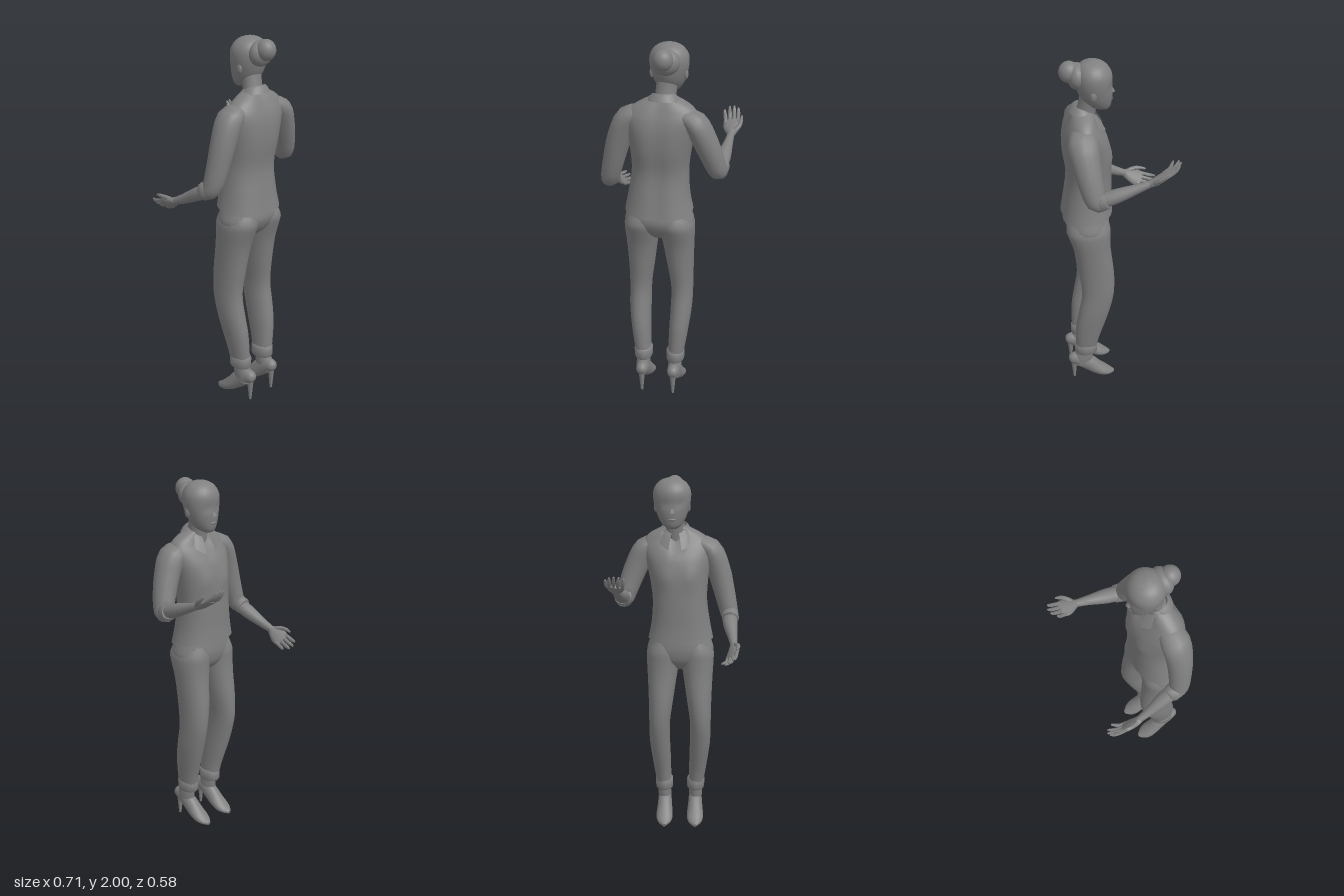
import * as THREE from 'three';
import { toCreasedNormals } from 'three/addons/utils/BufferGeometryUtils.js';

const V = (x, y, z) => new THREE.Vector3(x, y, z);
const material = new THREE.MeshStandardMaterial({ color: 0x808080 });
const thin = new THREE.MeshStandardMaterial({ color: 0x808080, side: THREE.DoubleSide });

// Catmull-Rom resampling of number rows, k steps per span
function smooth(rows, k = 3) {
  const out = [], last = rows.length - 1;
  for (let i = 0; i < last; i++) {
    const [p, a, b, q] = [rows[Math.max(i - 1, 0)], rows[i], rows[i + 1], rows[Math.min(i + 2, last)]];
    for (let s = 0; s < k; s++) {
      const t = s / k;
      out.push(a.map((v, c) => v + 0.5 * t * (b[c] - p[c] + t * (2 * p[c] - 5 * v + 4 * b[c] - q[c]
        + t * (3 * (v - b[c]) + q[c] - p[c])))));
    }
  }
  out.push(rows[last]);
  return out;
}

// Skin over rings of points, closed at both ends
function loft(rings, crease = 0.9) {
  const n = rings[0].length, pos = [], idx = [];
  rings.forEach(r => r.forEach(p => pos.push(p.x, p.y, p.z)));
  for (let i = 0; i < rings.length - 1; i++) {
    for (let j = 0; j < n; j++) {
      const a = i * n + j, b = i * n + (j + 1) % n;
      idx.push(a, a + n, b, b, a + n, b + n);
    }
  }
  [0, rings.length - 1].forEach((r, end) => {
    const c = rings[r].reduce((s, p) => s.add(p), V(0, 0, 0)).divideScalar(n);
    const m = pos.length / 3;
    pos.push(c.x, c.y, c.z);
    for (let j = 0; j < n; j++) {
      const a = r * n + j, b = r * n + (j + 1) % n;
      end ? idx.push(m, b, a) : idx.push(m, a, b);
    }
  });
  const g = new THREE.BufferGeometry();
  g.setAttribute('position', new THREE.Float32BufferAttribute(pos, 3));
  g.setIndex(idx);
  return toCreasedNormals(g, crease);
}

// Level rings, rows of [y, cx, cz, rx, rz] going up; e below 1 makes them boxier
function stack(rows, n = 20, e = 1, move = p => p, k = 3) {
  const pow = v => Math.sign(v) * Math.abs(v) ** e;
  return loft(smooth(rows, k).map(([y, cx, cz, rx, rz]) => Array.from({ length: n }, (_, j) => {
    const t = j / n * Math.PI * 2;
    return move(V(cx + rx * pow(Math.cos(t)), y, cz + rz * pow(Math.sin(t))));
  })));
}

// Rings across a path, rows of [x, y, z, a, b]; a lies along side
function sweep(rows, side, n = 12, k = 3) {
  const s = smooth(rows, k), at = i => V(...s[Math.min(Math.max(i, 0), s.length - 1)].slice(0, 3));
  return loft(s.map(([x, y, z, a, b], i) => {
    const T = at(i + 1).sub(at(i - 1)).normalize();
    const u = side.clone().addScaledVector(T, -side.dot(T)).normalize();
    const v = u.clone().cross(T);
    return Array.from({ length: n }, (_, j) => {
      const t = j / n * Math.PI * 2;
      return V(x, y, z).addScaledVector(u, a * Math.cos(t)).addScaledVector(v, b * Math.sin(t));
    });
  }));
}

export function createModel() {
  const model = new THREE.Group();
  const add = (name, geometry, parent = model, mat = material) => {
    const mesh = new THREE.Mesh(geometry, mat);
    mesh.name = name;
    parent.add(mesh);
    return mesh;
  };
  const blob = (name, p, s) => {
    const mesh = add(name, new THREE.SphereGeometry(1, 20, 14));
    mesh.position.set(...p);
    mesh.scale.set(...s);
  };
  const bell = (v, c, w) => Math.exp(-(((v - c) / w) ** 2));

  // Shirt: hem rises at the front, hollow along the spine, soft bust, V neckline
  add('shirt', stack([
    [1.112, -0.03, 0.156, 0.181, 0.14], [1.2, -0.03, 0.15, 0.163, 0.13],
    [1.33, -0.025, 0.142, 0.15, 0.122], [1.45, -0.02, 0.152, 0.16, 0.128],
    [1.55, -0.015, 0.16, 0.178, 0.122], [1.62, -0.01, 0.17, 0.19, 0.1],
    [1.665, -0.005, 0.173, 0.172, 0.079], [1.7, 0, 0.17, 0.13, 0.064],
    [1.735, 0, 0.165, 0.06, 0.045]], 40, 0.88, p => {
    if (p.y < 1.25) p.y -= (1.25 - p.y) * (p.z - 0.13) * 0.9;
    if (p.z > 0.2) p.z -= 0.01 * bell(p.x, -0.02, 0.04);
    if (p.z < 0.12) {
      p.z -= 0.012 * bell(p.y, 1.47, 0.05) * bell(Math.abs(p.x + 0.015), 0.07, 0.045);
      if (p.y > 1.57) p.z += 0.025 * Math.max(0, 1 - Math.abs(p.x) / (0.5 * (p.y - 1.56)));
    }
    return p;
  }));

  // Folded collar, open at the front with lower tips
  const collar = new THREE.PlaneGeometry(1, 1, 24, 3), cp = collar.attributes.position;
  for (let i = 0; i < cp.count; i++) {
    const t = cp.getX(i) * 2 * 2.82, row = Math.round((0.5 - cp.getY(i)) * 3);
    const f = (1 - Math.cos(t)) / 2;
    const r = [0.053, 0.056, 0.067, 0.082][row] + [0, 0.006, 0.018, 0.03][row] * f;
    const y = [1.725, 1.758, 1.748, 1.722][row] - [0.06, 0.06, 0.08, 0.11][row] * f ** 2;
    cp.setXYZ(i, r * Math.sin(t), y, 0.16 + r * Math.cos(t));
  }
  add('collar', toCreasedNormals(collar, 0.7), model, thin);

  // Neck, head and bun
  add('neck', sweep([[0, 1.66, 0.165, 0.06, 0.055], [0.005, 1.74, 0.148, 0.054, 0.048],
    [0.014, 1.83, 0.13, 0.056, 0.05]], V(1, 0, 0), 18));
  add('head', stack([
    [1.735, 0.015, 0.062, 0.025, 0.022], [1.752, 0.015, 0.08, 0.05, 0.053],
    [1.79, 0.016, 0.096, 0.074, 0.076], [1.83, 0.017, 0.105, 0.088, 0.088],
    [1.88, 0.017, 0.111, 0.1, 0.094], [1.93, 0.017, 0.113, 0.1, 0.093],
    [1.968, 0.017, 0.116, 0.08, 0.075], [1.99, 0.017, 0.118, 0.048, 0.046],
    [2.0, 0.017, 0.12, 0.008, 0.008]], 24, 1, p => {
    // Eye sockets on both sides of the nose
    if (p.z < 0.1) p.z += 0.01 * bell(Math.abs(p.x - 0.015), 0.036, 0.02) * bell(p.y, 1.868, 0.017);
    return p;
  }));
  blob('bun', [0.007, 1.94, 0.234], [0.052, 0.056, 0.053]);
  blob('bunBase', [0.012, 1.918, 0.195], [0.074, 0.068, 0.052]);
  const nose = add('nose', new THREE.ConeGeometry(0.017, 0.055, 8));
  nose.position.set(0.015, 1.848, 0.027);
  nose.rotation.x = 0.25;
  blob('lips', [0.015, 1.787, 0.026], [0.022, 0.008, 0.01]);
  for (const s of [-1, 1]) blob('ear', [0.017 + s * 0.088, 1.842, 0.125], [0.011, 0.028, 0.017]);

  // Trousers: hips, then one leg mirrored about the body's middle
  add('hips', stack([
    [0.935, -0.028, 0.143, 0.03, 0.035], [0.955, -0.028, 0.145, 0.065, 0.065],
    [0.99, -0.028, 0.149, 0.145, 0.098], [1.035, -0.028, 0.155, 0.184, 0.117],
    [1.08, -0.028, 0.156, 0.178, 0.121], [1.16, -0.028, 0.15, 0.15, 0.108]], 28, 0.88));
  for (const s of [-1, 1]) {
    const leg = new THREE.Group();
    leg.name = s < 0 ? 'rightLeg' : 'leftLeg';
    model.add(leg);
    const rows = list => list.map(([y, d, cz, rx, rz]) => [y, -0.027 + s * d, cz, rx, rz]);
    add('trouserLeg', stack(rows([
      [0.22, 0.092, 0.182, 0.043, 0.06], [0.3, 0.1, 0.174, 0.048, 0.068],
      [0.4, 0.108, 0.157, 0.054, 0.081], [0.5, 0.115, 0.134, 0.058, 0.086],
      [0.62, 0.116, 0.112, 0.059, 0.09], [0.75, 0.108, 0.117, 0.069, 0.097],
      [0.9, 0.1, 0.136, 0.083, 0.1], [0.99, 0.095, 0.151, 0.093, 0.113],
      [1.045, 0.09, 0.157, 0.094, 0.119], [1.12, 0.075, 0.153, 0.074, 0.095]]), 20, 0.92), leg);
    add('trouserCuff', stack(rows([[0.187, 0.091, 0.183, 0.046, 0.06], [0.195, 0.091, 0.183, 0.05, 0.065],
      [0.245, 0.092, 0.183, 0.051, 0.066], [0.252, 0.092, 0.183, 0.045, 0.06]]), 18, 1, p => p, 1), leg);
    add('ankle', stack(rows([[0.1, 0.091, 0.205, 0.034, 0.055], [0.15, 0.091, 0.2, 0.038, 0.056],
      [0.2, 0.091, 0.188, 0.036, 0.047]]), 16), leg);
    // Pointed shoe on a thin heel
    const x = -0.027 + s * 0.089;
    add('shoe', sweep([
      [x, 0.14, 0.284, 0.012, 0.012], [x, 0.14, 0.27, 0.028, 0.03], [x, 0.135, 0.23, 0.036, 0.045],
      [x, 0.1, 0.175, 0.04, 0.048], [x, 0.058, 0.125, 0.046, 0.04], [x, 0.034, 0.085, 0.047, 0.031],
      [x, 0.02, 0.05, 0.036, 0.019], [x, 0.012, 0.021, 0.011, 0.01]], V(1, 0, 0), 16), leg);
    const heel = add('heel', new THREE.CylinderGeometry(0.019, 0.007, 0.125, 10), leg);
    heel.position.set(x, 0.0625, 0.254);
  }

  // Arms: sleeve, rolled cuff, bare forearm and open hand with the palm up
  const arm = (name, s, sleeve, cuff, forearm, handSide, handDir) => {
    const g = new THREE.Group();
    g.name = name;
    model.add(g);
    const ref = V(s * 0.9, 0.4, 0);
    add('sleeve', sweep(sleeve, ref, 16), g);
    add('sleeveCuff', sweep(cuff, ref, 16, 1), g);
    add('forearm', sweep(forearm, V(1, 0, 0), 14), g);

    const wrist = V(...forearm[forearm.length - 1].slice(0, 3));
    const f = handDir.normalize();
    const u = handSide.addScaledVector(f, -handSide.dot(f)).normalize();
    const up = u.clone().cross(f);
    if (up.y < 0) up.negate();
    const row = (a, b, c, ra, rb) => [
      ...wrist.clone().addScaledVector(u, a).addScaledVector(up, b).addScaledVector(f, c).toArray(), ra, rb];
    add('palm', sweep([row(0, 0, -0.01, 0.02, 0.019), row(0, -0.003, 0.025, 0.037, 0.019),
      row(-0.003, -0.002, 0.065, 0.046, 0.015), row(-0.004, 0, 0.1, 0.041, 0.01)], u, 14), g);
    [0.075, 0.088, 0.084, 0.066].forEach((len, i) => {
      const a = 0.029 - i * 0.022, c = i === 3 ? 0.085 : 0.093, fan = 1.06 + i * 0.02;
      add('finger', sweep([row(a, 0, c - 0.01, 0.01, 0.01), row(a * 1.04, 0.004, c + len * 0.4, 0.0105, 0.01),
        row(a * fan, 0.012 + i * 0.002, c + len * 0.75, 0.0095, 0.009),
        row(a * fan, 0.024 + i * 0.003, c + len, 0.005, 0.005)], u, 8, 2), g);
    });
    add('thumb', sweep([row(0.02, 0.002, 0.015, 0.014, 0.014), row(0.043, 0.008, 0.045, 0.012, 0.012),
      row(0.052, 0.015, 0.075, 0.01, 0.01), row(0.054, 0.024, 0.105, 0.005, 0.005)], up, 8, 2), g);
  };

  arm('leftArm', 1,
    [[0.085, 1.645, 0.18, 0.035, 0.055], [0.163, 1.61, 0.187, 0.06, 0.08], [0.21, 1.52, 0.178, 0.064, 0.073],
      [0.25, 1.42, 0.161, 0.059, 0.064], [0.276, 1.343, 0.138, 0.051, 0.057], [0.285, 1.343, 0.1, 0.044, 0.045]],
    [[0.281, 1.342, 0.128, 0.046, 0.046], [0.282, 1.343, 0.122, 0.049, 0.05],
      [0.286, 1.352, 0.09, 0.047, 0.048], [0.287, 1.354, 0.086, 0.04, 0.04]],
    [[0.28, 1.34, 0.13, 0.04, 0.038], [0.29, 1.372, 0.04, 0.04, 0.037],
      [0.3, 1.41, -0.06, 0.026, 0.026], [0.305, 1.44, -0.135, 0.019, 0.018]],
    V(1, 0.15, 0), V(-0.05, 0.42, -0.85));
  arm('rightArm', -1,
    [[-0.095, 1.645, 0.17, 0.035, 0.055], [-0.185, 1.61, 0.168, 0.062, 0.077], [-0.235, 1.5, 0.168, 0.064, 0.07],
      [-0.268, 1.38, 0.16, 0.058, 0.062], [-0.296, 1.265, 0.142, 0.05, 0.054], [-0.303, 1.243, 0.105, 0.044, 0.045]],
    [[-0.3, 1.252, 0.125, 0.045, 0.046], [-0.301, 1.25, 0.12, 0.048, 0.05],
      [-0.304, 1.235, 0.09, 0.046, 0.048], [-0.304, 1.233, 0.086, 0.04, 0.04]],
    [[-0.3, 1.25, 0.13, 0.04, 0.038], [-0.303, 1.213, 0.05, 0.04, 0.037],
      [-0.314, 1.168, -0.04, 0.026, 0.027], [-0.32, 1.14, -0.108, 0.019, 0.02]],
    V(-0.68, 0.73, 0), V(0.08, -0.37, -0.9));
  return model;
}
